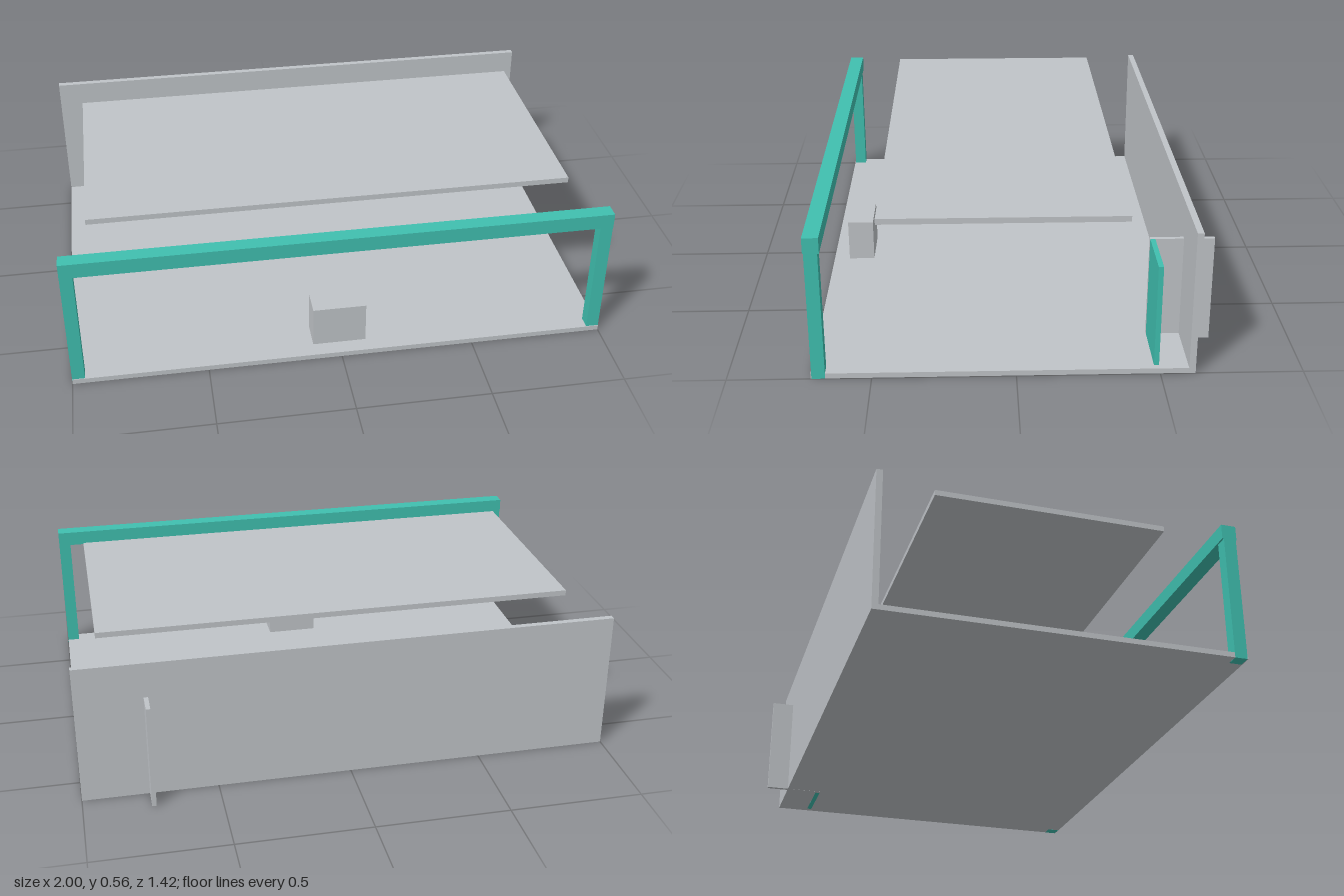
import * as THREE from 'three';

export function createModel() {
  const group = new THREE.Group();

  const concrete = new THREE.MeshStandardMaterial({ color: 0xc0c4c8 });
  concrete.name = 'light grey';
  const teal = new THREE.MeshStandardMaterial({ color: 0x40c0b0 });
  teal.name = 'teal';

  // Box given by its extents along each axis
  function block(name, material, [x0, x1], [y0, y1], [z0, z1]) {
    const mesh = new THREE.Mesh(new THREE.BoxGeometry(x1 - x0, y1 - y0, z1 - z0), material);
    mesh.position.set((x0 + x1) / 2, (y0 + y1) / 2, (z0 + z1) / 2);
    mesh.name = name;
    group.add(mesh);
  }

  // Main slabs; the floor sits a hair inside the parts that pass through it
  block('floor', concrete, [-0.9995, 0.9995], [0.0005, 0.02], [-0.601, 0.71]);
  block('backWall', concrete, [-1, 1], [0, 0.535], [-0.623, -0.6]);
  block('roofPanel', concrete, [-0.9, 0.9], [0.535, 0.556], [-0.393, 0.474]);

  // Front frame: two posts and a beam
  block('rightPost', teal, [-1, -0.953], [0, 0.48], [0.66, 0.707]);
  block('leftPost', teal, [0.953, 1], [0, 0.48], [0.66, 0.707]);
  block('frontBeam', teal, [-1, 1], [0.478, 0.535], [0.654, 0.71]);

  // Counter behind the frame
  block('counter', concrete, [-0.1, 0.1], [0.02, 0.18], [0.549, 0.649]);

  // Partition through the back wall, with the door beside it
  block('partition', concrete, [0.738, 0.754], [0, 0.4], [-0.71, -0.48]);
  block('door', teal, [0.754, 0.975], [0, 0.4], [-0.498, -0.48]);

  return group;
}
